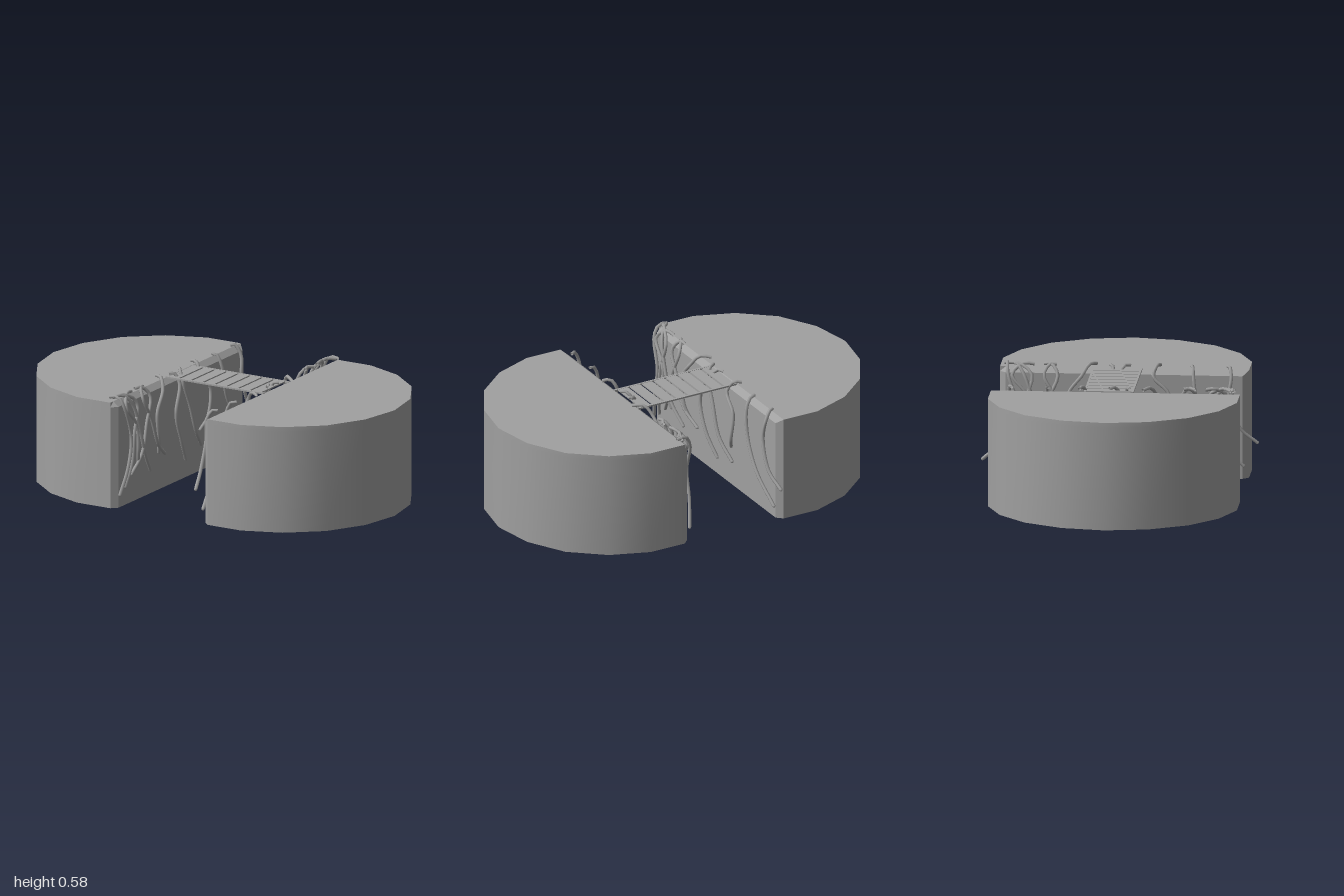
import * as THREE from 'three';
import { toCreasedNormals } from 'three/addons/utils/BufferGeometryUtils.js';

const material = new THREE.MeshStandardMaterial({ color: 0xa0a0a0, side: THREE.DoubleSide });

// Half-round cliff, hollow and open underneath, with a chamfered inner face
function cliffGeometry() {
  const half = [[-0.255, 0.595], [-0.285, 0.625], [-0.48, 0.625], [-0.68, 0.55], [-0.85, 0.41], [-0.96, 0.217]];
  const outline = [
    ...half.map(([x, z]) => [x, -z]),
    [-1, 0],
    ...half.slice().reverse(),
  ];
  const n = outline.length;
  const positions = [];
  for (const y of [0, 0.525, 0.55]) {
    for (const [x, z] of outline) positions.push(y === 0.55 ? Math.min(x, -0.285) : x, y, z);
  }
  const index = [];
  for (let r = 0; r < 2; r++) {
    for (let i = 0; i < n; i++) {
      const a = r * n + i, b = r * n + (i + 1) % n;
      index.push(a, b, b + n, a, b + n, a + n);
    }
  }
  for (let i = 1; i < n - 1; i++) index.push(2 * n, 2 * n + i, 2 * n + i + 1);
  const g = new THREE.BufferGeometry();
  g.setAttribute('position', new THREE.Float32BufferAttribute(positions, 3));
  g.setIndex(index);
  return toCreasedNormals(g, 0.5);
}

// Vine: starts on the cliff top, bends over the edge and hangs down the face
function vineGeometry([x0, z0, z1, z2, z3, y3]) {
  const mid = (0.5 + y3) / 2;
  const path = new THREE.CatmullRomCurve3([
    new THREE.Vector3(x0, 0.568, z0),
    new THREE.Vector3(-0.262, 0.572, z0 + (z1 - z0) * 0.5),
    new THREE.Vector3(-0.23, 0.52, z1),
    new THREE.Vector3(-0.22, mid + 0.07, z2),
    new THREE.Vector3(-0.221, mid - 0.08, z2 + (z3 - z2) * 0.4),
    new THREE.Vector3(-0.243, y3, z3),
  ]);
  return new THREE.TubeGeometry(path, 18, 0.009, 6, false);
}

// Start x, then z at the start, edge, middle and tip, then tip height
const vines = [
  [-0.31, 0.59, 0.58, 0.53, 0.60, 0.07],
  [-0.29, 0.60, 0.46, 0.50, 0.55, 0.10],
  [-0.28, 0.40, 0.33, 0.38, 0.49, 0.15],
  [-0.30, 0.58, 0.50, 0.45, 0.31, 0.13],
  [-0.27, 0.45, 0.56, 0.48, 0.43, 0.18],
  [-0.27, 0.34, 0.40, 0.34, 0.17, 0.18],
  [-0.31, 0.14, 0.21, 0.28, 0.23, 0.20],
  [-0.28, 0.07, 0.05, 0.10, -0.03, 0.10],
  [-0.28, -0.03, 0.02, -0.03, -0.18, 0.14],
  [-0.30, -0.18, -0.15, -0.23, -0.17, 0.22],
  [-0.28, -0.34, -0.35, -0.38, -0.60, 0.07],
  [-0.28, -0.52, -0.54, -0.53, -0.67, 0.19],
];

function createSide() {
  const side = new THREE.Group();
  const cliff = new THREE.Mesh(cliffGeometry(), material);
  cliff.name = 'cliff';
  side.add(cliff);
  const group = new THREE.Group();
  group.name = 'vines';
  for (const v of vines) {
    const vine = new THREE.Mesh(vineGeometry(v), material);
    vine.name = 'vine';
    group.add(vine);
    // Rounded tip
    const tip = new THREE.Mesh(new THREE.SphereGeometry(0.009, 6, 4), material);
    tip.name = 'vineTip';
    tip.position.set(-0.243, v[5], v[4]);
    group.add(tip);
  }
  side.add(group);
  return side;
}

// Plank bridge with a thin beam along each edge
function createBridge() {
  const bridge = new THREE.Group();
  bridge.name = 'bridge';
  const plank = new THREE.BoxGeometry(0.058, 0.006, 0.228);
  for (let i = 0; i < 8; i++) {
    const m = new THREE.Mesh(plank, material);
    m.name = 'plank';
    m.position.set((i - 3.5) * 0.069 - 0.004, 0.55, 0);
    bridge.add(m);
  }
  for (const z of [-0.119, 0.119]) {
    const beam = new THREE.Mesh(new THREE.BoxGeometry(0.575, 0.008, 0.011), material);
    beam.name = 'beam';
    beam.position.set(0, 0.55, z);
    bridge.add(beam);
  }
  bridge.position.z = -0.034;
  return bridge;
}

export function createModel() {
  const model = new THREE.Group();
  model.name = 'cliffBridge';
  const body = new THREE.Group();
  body.name = 'body';
  body.position.z = -0.011;
  // Two identical sides, turned half a circle from each other
  for (const [name, turn] of [['rightSide', 0], ['leftSide', Math.PI]]) {
    const side = createSide();
    side.name = name;
    side.rotation.y = turn;
    body.add(side);
  }
  body.add(createBridge());
  model.add(body);
  return model;
}
